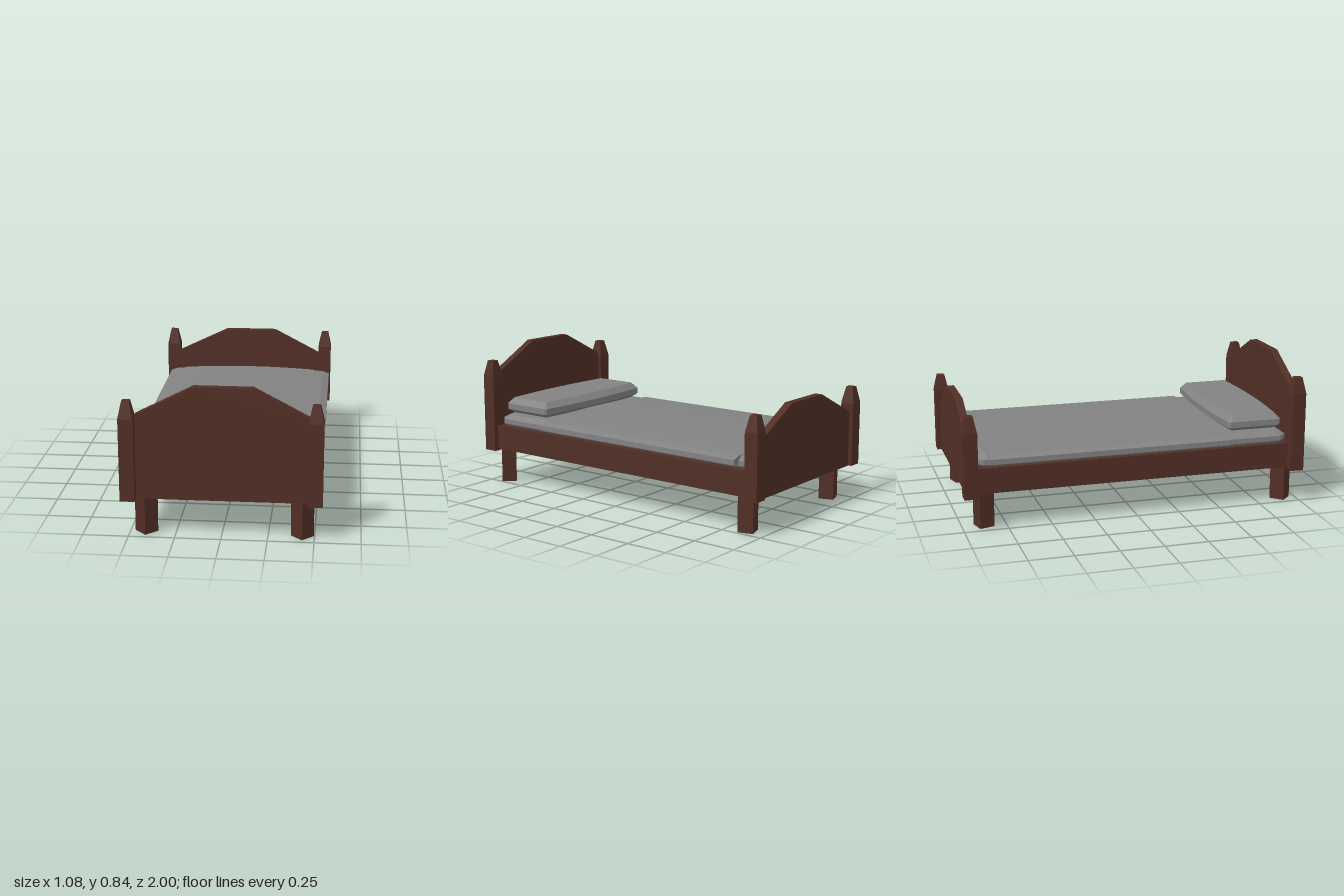
import * as THREE from 'three';

const wood = new THREE.MeshStandardMaterial({ color: 0x512e25, flatShading: true });
const cloth = new THREE.MeshStandardMaterial({ color: 0x828282, flatShading: true });

function add(parent, name, geometry, material, x = 0, y = 0, z = 0) {
  const mesh = new THREE.Mesh(geometry, material);
  mesh.name = name;
  mesh.position.set(x, y, z);
  parent.add(mesh);
  return mesh;
}

// Outline with cut corners and front/back edges that bulge outward
function outline(w, d, cut, bulge) {
  const half = [[-w, d - cut]];
  for (let i = 0; i <= 6; i++) {
    const t = i / 3 - 1;
    half.push([t * (w - cut), d + bulge * (1 - t * t)]);
  }
  half.push([w, d - cut]);
  return [...half, ...half.map(([x, z]) => [-x, -z])];
}

// Soft slab lofted through rings of [y, halfWidth, halfDepth, cut, bulge, dome]
function softSlab(rings) {
  const pos = [], index = [];
  let n = 0;
  for (const [y, w, d, cut, bulge, dome] of rings) {
    const pts = outline(w, d, cut, bulge);
    n = pts.length;
    for (const [x, z] of pts) pos.push(x, y + dome * (1 - (x / w) ** 2), z);
  }
  const last = (rings.length - 1) * n, bottom = rings.length * n, top = bottom + 1;
  const end = rings[rings.length - 1];
  pos.push(0, rings[0][0], 0, 0, end[0] + end[5], 0);
  for (let i = 0; i < n; i++) {
    const k = (i + 1) % n;
    for (let j = 0; j < last; j += n) {
      index.push(j + i, j + k, j + n + k, j + i, j + n + k, j + n + i);
    }
    index.push(bottom, k, i, top, last + i, last + k);
  }
  const g = new THREE.BufferGeometry();
  g.setAttribute('position', new THREE.Float32BufferAttribute(pos, 3));
  g.setIndex(index);
  g.computeVertexNormals();
  return g;
}

function extrude(points, depth) {
  const shape = new THREE.Shape(points.map(([x, y]) => new THREE.Vector2(x, y)));
  return new THREE.ExtrudeGeometry(shape, { depth, bevelEnabled: false });
}

// Square post with a tapered tip
function postGeometry(shoulder, tip) {
  const r = 0.04 * Math.SQRT2, s = 0.021 * Math.SQRT2;
  const profile = [[0, 0.2], [r, 0.2], [r, shoulder], [s, tip], [0, tip]];
  return new THREE.LatheGeometry(profile.map(([x, y]) => new THREE.Vector2(x, y)), 4, Math.PI / 4);
}

// Panel with a sloped top between two posts
function endBoard(name, z, left, bottom, edge, top, postShoulder, postTip) {
  const group = new THREE.Group();
  group.name = name;
  const panel = extrude([[left, bottom], [0.47, bottom], [0.47, edge],
    [0.17, top], [-0.145, top], [left, edge]], 0.045);
  add(group, name + 'Panel', panel, wood, 0, 0, z - 0.0225);
  for (const side of [-1, 1]) {
    add(group, name + 'Post', postGeometry(postShoulder, postTip), wood,
      side * 0.502, 0, Math.sign(z) * 0.96);
  }
  return group;
}

export function createModel() {
  const bed = new THREE.Group();
  bed.name = 'bed';

  // Wooden base and end boards
  add(bed, 'bedFrame', new THREE.BoxGeometry(1.0, 0.145, 1.87), wood, 0.0125, 0.2825, 0);
  bed.add(endBoard('headboard', 0.9575, -0.455, 0.213, 0.682, 0.84, 0.662, 0.755));
  bed.add(endBoard('footboard', -0.953, -0.47, 0.198, 0.518, 0.674, 0.572, 0.665));

  // Legs, turned about their own axes
  for (const [z, turn] of [[0.91, Math.PI / 4], [-0.875, 0.28]]) {
    for (const side of [-1, 1]) {
      const leg = add(bed, z > 0 ? 'headLeg' : 'footLeg',
        new THREE.BoxGeometry(0.088, 0.23, 0.088), wood, 0.011 + side * 0.423, 0.115, z);
      leg.rotation.y = turn;
    }
  }

  // Mattress
  add(bed, 'mattress', softSlab([
    [0.35, 0.455, 0.89, 0.03, 0, 0],
    [0.372, 0.485, 0.92, 0.04, 0, 0],
    [0.4, 0.485, 0.92, 0.04, 0, 0],
    [0.424, 0.45, 0.876, 0.03, 0, 0.016],
  ]), cloth, 0.01, 0, 0);

  // Blanket draped over the mattress sides, slightly domed
  const right = [[0.523, 0.38], [0.523, 0.41], [0.482, 0.425], [0.3, 0.436], [0.12, 0.441]];
  const left = right.map(([x, y]) => [-x, y]).reverse();
  add(bed, 'blanket', extrude([...right, ...left], 1.395), cloth, 0.0115, 0, -0.85);

  // Pillow
  add(bed, 'pillow', softSlab([
    [0.432, 0.41, 0.135, 0.01, 0.02, 0],
    [0.455, 0.443, 0.162, 0.012, 0.024, 0],
    [0.49, 0.443, 0.162, 0.012, 0.024, 0],
    [0.525, 0.41, 0.13, 0.003, 0.02, 0],
  ]), cloth, 0.0135, 0, 0.733);

  return bed;
}
